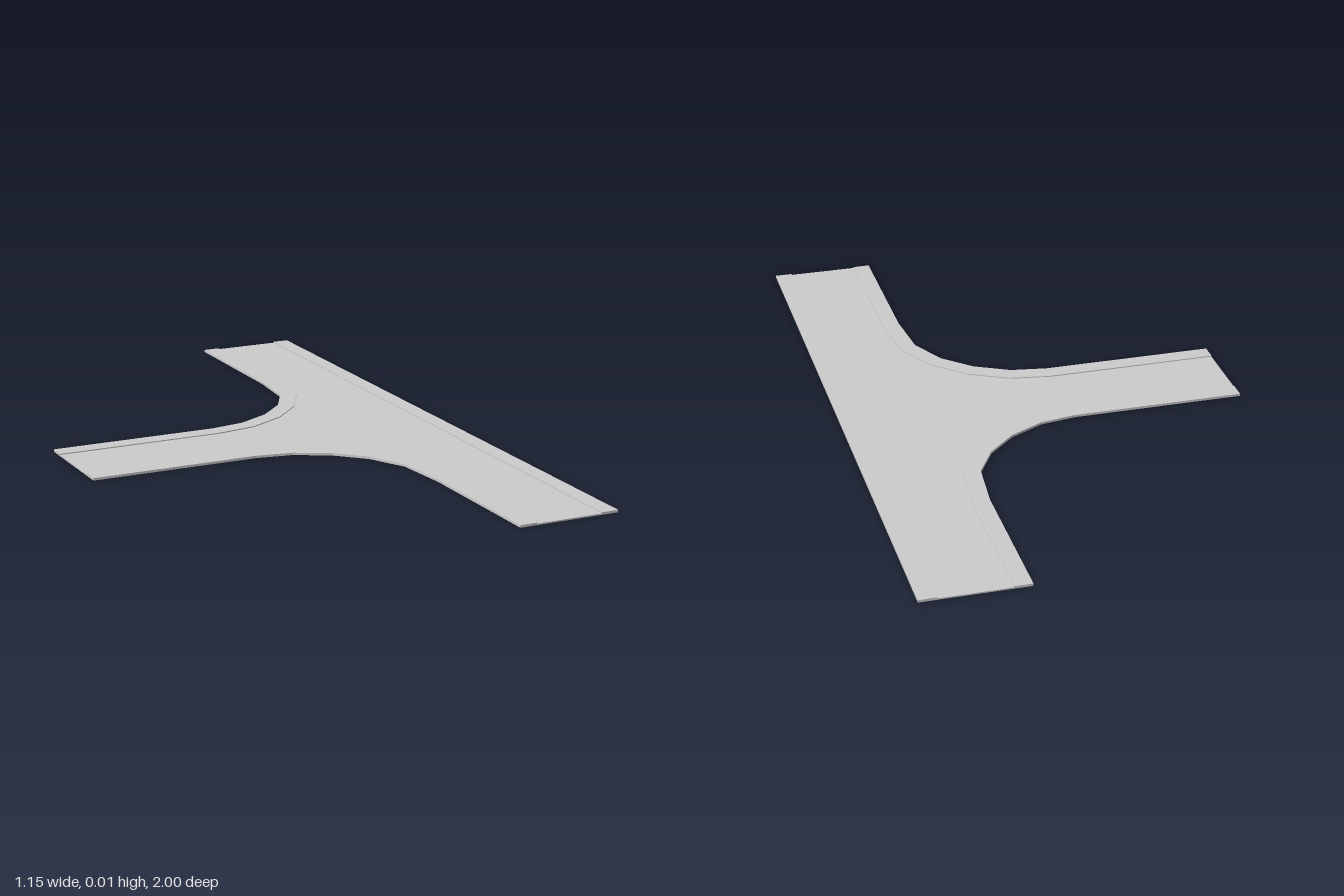
import * as THREE from 'three';

const CURB_WIDTH = 0.05, CURB_HEIGHT = 0.007, ROAD_HEIGHT = 0.004;
const RIGHT = 0.575;

// Outer edge of one corner: along the side street, round the bend, along the main street
const CORNER = [
  [-0.575, 0.152], [-0.08, 0.152], [0.025, 0.169], [0.125, 0.221],
  [0.205, 0.298], [0.26, 0.4], [0.275, 0.56], [0.275, 1],
].map(([x, z]) => new THREE.Vector2(x, z));

// Moves a path sideways towards the road, with mitred corners
function inset(path, distance) {
  const normals = path.slice(1).map((p, i) => {
    const d = p.clone().sub(path[i]).normalize();
    return new THREE.Vector2(d.y, -d.x);
  });
  return path.map((p, i) => {
    const a = normals[Math.max(i - 1, 0)];
    const b = normals[Math.min(i, normals.length - 1)];
    const mitre = a.clone().add(b).normalize();
    return p.clone().addScaledVector(mitre, distance / mitre.dot(a));
  });
}

// Places a corner path on the front or back side; the side street sits slightly back
const place = (path, side) =>
  path.map((p) => new THREE.Vector2(p.x, side * p.y - (p.y < 0.35 ? 0.004 : 0)));

export function createModel() {
  const group = new THREE.Group();
  const material = new THREE.MeshStandardMaterial({ color: 0xcccccc, flatShading: true });

  // Flat slab standing on the ground, from an outline in x and z
  function addSlab(name, outline, height) {
    const geometry = new THREE.ExtrudeGeometry(new THREE.Shape(outline), {
      depth: height, bevelEnabled: false,
    });
    geometry.rotateX(Math.PI / 2).translate(0, height, 0);
    const mesh = new THREE.Mesh(geometry, material);
    mesh.name = name;
    group.add(mesh);
  }

  const inner = inset(CORNER, CURB_WIDTH);

  // Curved pavements at the two corners
  for (const [name, side] of [['frontCornerPavement', 1], ['backCornerPavement', -1]]) {
    addSlab(name, [...place(CORNER, side), ...place(inner, side).reverse()], CURB_HEIGHT);
  }

  // Straight pavement along the far side of the main street
  const kerb = RIGHT - CURB_WIDTH;
  addSlab('straightPavement', [[kerb, -1], [RIGHT, -1], [RIGHT, 1], [kerb, 1]]
    .map(([x, z]) => new THREE.Vector2(x, z)), CURB_HEIGHT);

  // Road surface between the pavements
  addSlab('road', [
    ...place(inner, 1),
    new THREE.Vector2(kerb, 1), new THREE.Vector2(kerb, -1),
    ...place(inner, -1).reverse(),
  ], ROAD_HEIGHT);

  return group;
}
